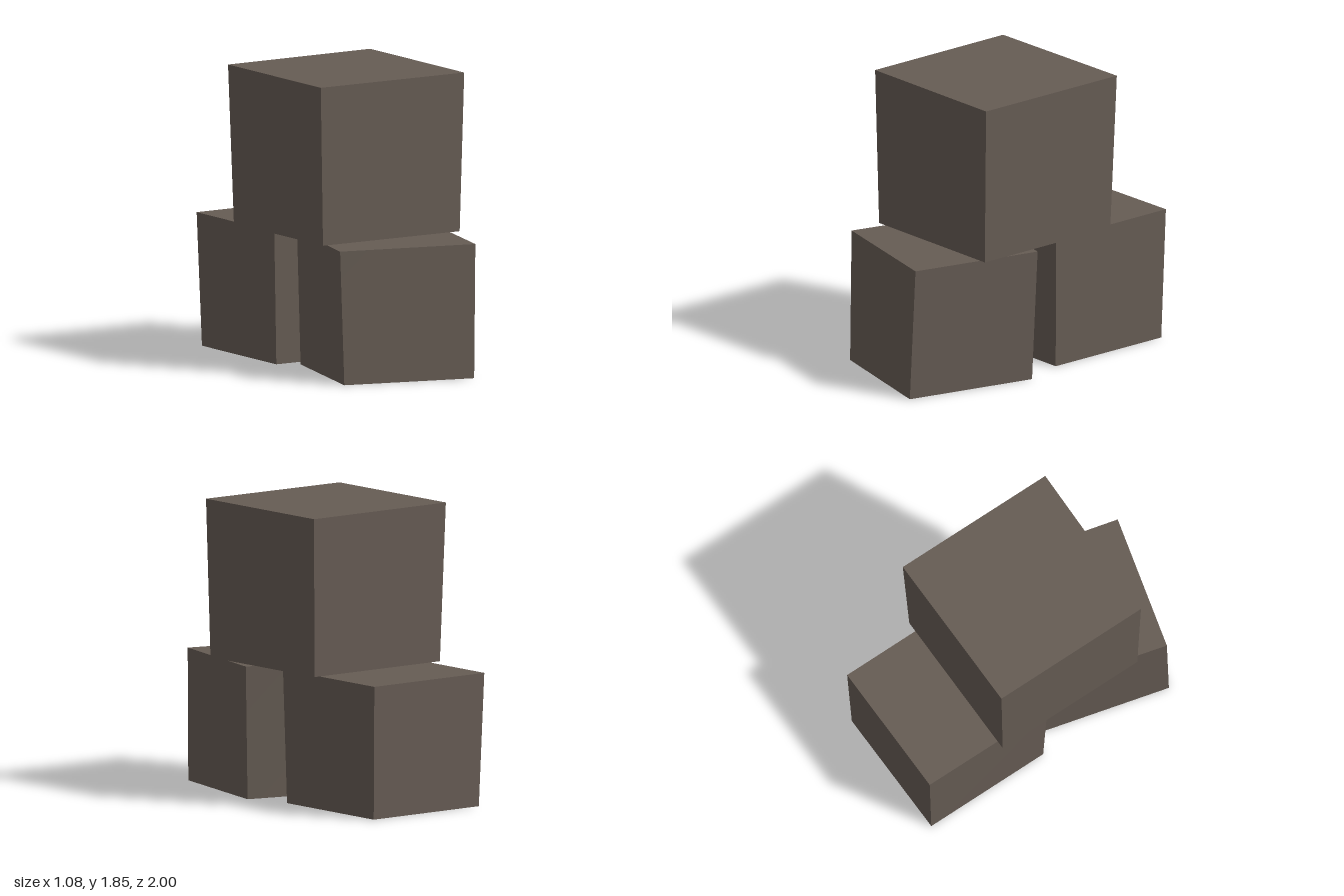
import * as THREE from 'three';

const stone = new THREE.MeshStandardMaterial({ color: 0x665c54 });
stone.name = 'brownStone';

// Uneven block: corner lists are [x, z] in the order back left, back right, front right, front left on the page (-x is left)
function block(name, y0, y1, bottom, top) {
  const geometry = new THREE.BoxGeometry(1, 1, 1);
  const p = geometry.attributes.position;
  for (let i = 0; i < p.count; i++) {
    const ring = p.getY(i) > 0 ? top : bottom;
    const right = p.getX(i) > 0;
    const corner = p.getZ(i) > 0 ? (right ? 2 : 3) : (right ? 1 : 0);
    const [x, z] = ring[corner];
    p.setXYZ(i, x, p.getY(i) > 0 ? y1 : y0, z);
  }
  geometry.computeVertexNormals();
  const mesh = new THREE.Mesh(geometry, stone);
  mesh.name = name;
  return mesh;
}

export function createModel() {
  const group = new THREE.Group();
  group.name = 'stackedBlocks';
  group.add(
    // turned block at the front
    block('frontBlock', 0, 0.842,
      [[-0.31, -0.025], [0.51, 0.165], [0.315, 1.0], [-0.51, 0.785]],
      [[-0.32, -0.05], [0.54, 0.145], [0.34, 0.975], [-0.525, 0.76]]),
    // block at the back
    block('backBlock', 0, 0.842,
      [[-0.44, -0.955], [0.415, -0.975], [0.415, -0.11], [-0.435, -0.11]],
      [[-0.462, -0.982], [0.43, -1.0], [0.435, -0.095], [-0.46, -0.095]]),
    // large block resting on both
    block('topBlock', 0.848, 1.85,
      [[-0.517, -0.47], [0.497, -0.487], [0.502, 0.545], [-0.513, 0.545]],
      [[-0.543, -0.497], [0.525, -0.517], [0.528, 0.557], [-0.537, 0.557]]),
  );
  return group;
}
